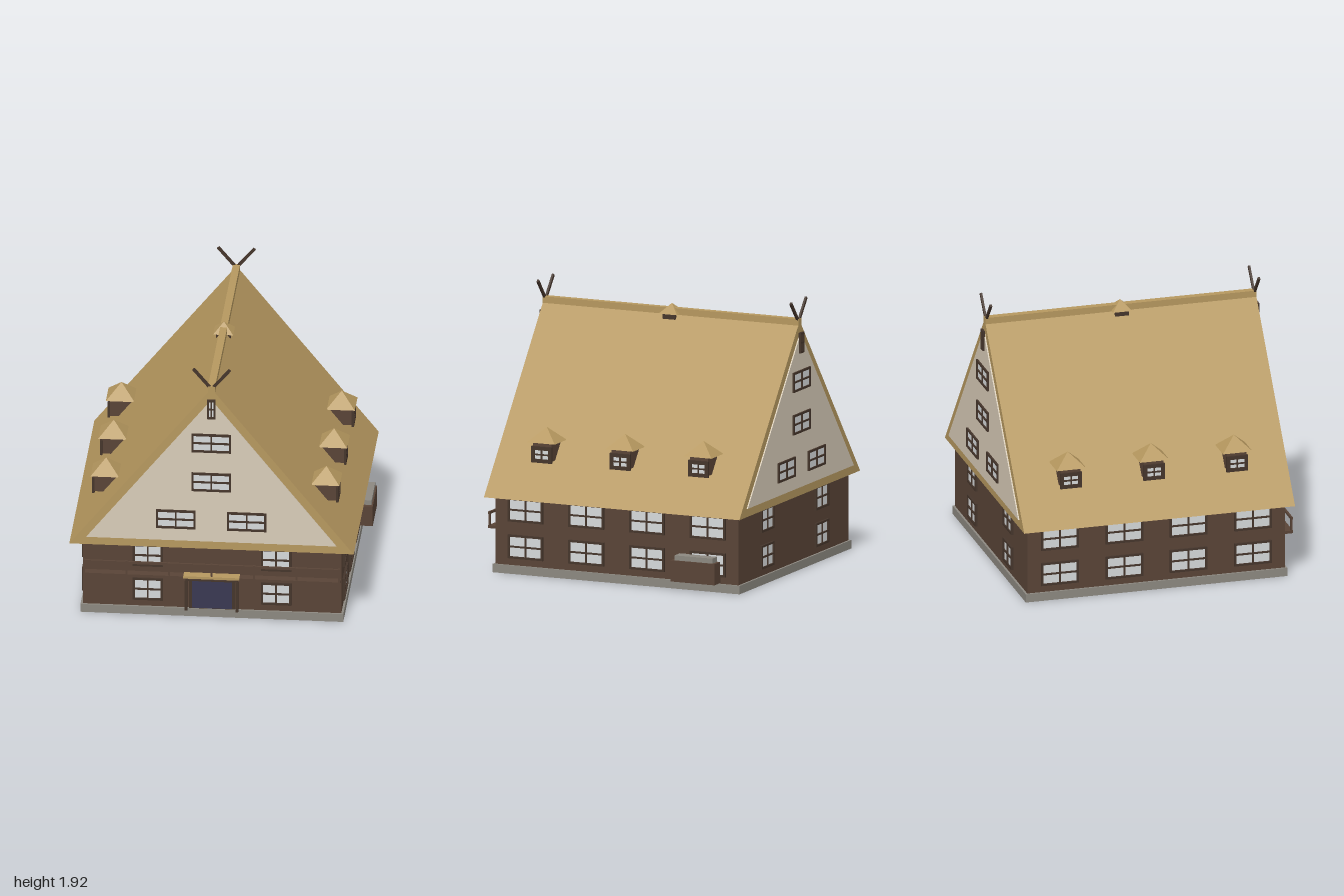
import * as THREE from 'three';

const mat = (name, color) => {
  const m = new THREE.MeshStandardMaterial({ color });
  m.name = name;
  return m;
};

export function createModel() {
  const thatch = mat('thatch', 0xb6985f);
  const wood = mat('wall wood', 0x594437);
  const trim = mat('dark trim', 0x45352b);
  const plaster = mat('plaster', 0xd8ccb8);
  const glass = mat('glass', 0xd6d9da);
  const stone = mat('stone', 0x8c8880);
  const blue = mat('door blue', 0x393852);

  const house = new THREE.Group();
  house.name = 'house';
  house.position.x = -0.005;

  const add = (name, geo, material, parent = house) => {
    const m = new THREE.Mesh(geo, material);
    m.name = name;
    parent.add(m);
    return m;
  };
  // Box given by its lower and upper limits
  const box = (name, material, x0, x1, y0, y1, z0, z1, parent) => {
    const m = add(name, new THREE.BoxGeometry(x1 - x0, y1 - y0, z1 - z0), material, parent);
    m.position.set((x0 + x1) / 2, (y0 + y1) / 2, (z0 + z1) / 2);
    return m;
  };
  // Triangular prism along z, centred on z = 0
  const prism = (name, material, half, y0, y1, depth) => {
    const s = new THREE.Shape([
      new THREE.Vector2(-half, y0), new THREE.Vector2(half, y0), new THREE.Vector2(0, y1)]);
    const g = new THREE.ExtrudeGeometry(s, { depth, bevelEnabled: false });
    return add(name, g.translate(0, 0, -depth / 2), material);
  };
  // Four-sided pyramid roof
  const pyramid = (name, hx, hz, h, parent) => {
    const g = new THREE.ConeGeometry(Math.SQRT2, h, 4).toNonIndexed();
    g.rotateY(Math.PI / 4).scale(hx, 1, hz).translate(0, h / 2, 0);
    g.computeVertexNormals();
    return add(name, g, thatch, parent);
  };
  const rect = (P, x0, x1, y0, y1) => new P([
    new THREE.Vector2(x0, y0), new THREE.Vector2(x1, y0),
    new THREE.Vector2(x1, y1), new THREE.Vector2(x0, y1)]);

  // Four-pane window facing local +z
  const windowUnit = (w, h, border = 0.015, bar = 0.012) => {
    const g = new THREE.Group();
    g.name = 'window';
    const s = rect(THREE.Shape, -w / 2, w / 2, -h / 2, h / 2);
    const a = w / 2 - border, b = h / 2 - border, c = bar / 2;
    for (const [x0, x1] of [[-a, -c], [c, a]])
      for (const [y0, y1] of [[-b, -c], [c, b]])
        s.holes.push(rect(THREE.Path, x0, x1, y0, y1));
    add('windowFrame', new THREE.ExtrudeGeometry(s, { depth: 0.017, bevelEnabled: false }), trim, g);
    box('windowGlass', glass, -a, a, -b, b, 0, 0.008, g);
    return g;
  };
  const placeWindow = (w, h, x, y, z, turn, border, bar, parent = house) => {
    const g = windowUnit(w, h, border, bar);
    g.position.set(x, y, z);
    g.rotation.y = turn;
    parent.add(g);
  };

  // Plinth, walls and thatched roof
  box('plinth', stone, -0.915, 0.915, 0, 0.06, -0.945, 0.945);
  box('walls', wood, -0.9, 0.9, 0.06, 0.545, -0.93, 0.93);
  prism('roof', thatch, 0.99, 0.54, 1.775, 1.956);
  prism('gablePlaster', plaster, 0.87, 0.6, 1.69, 1.974);
  box('ridgeCap', thatch, -0.025, 0.025, 1.735, 1.79, -0.979, 0.979);

  // Ridge lantern
  box('lanternBody', trim, -0.05, 0.05, 1.705, 1.755, -0.05, 0.05);
  pyramid('lanternRoof', 0.07, 0.07, 0.07).position.y = 1.75;

  for (const side of [1, -1]) {
    const turn = side > 0 ? 0 : Math.PI;

    // Crossed gable poles
    for (const lean of [1, -1]) {
      const pole = add('gablePole', new THREE.BoxGeometry(0.02, 0.22, 0.015), trim);
      pole.position.set(lean * 0.056, 1.834, side * 0.968);
      pole.rotation.z = -lean * 0.7;
    }

    // Gable windows
    for (const [x, y] of [[0, 1.36], [0, 1.06], [-0.247, 0.765], [0.247, 0.765]])
      placeWindow(0.275, 0.14, x, y, side * 0.983, turn);
    placeWindow(0.058, 0.145, 0, 1.622, side * 0.983, turn, 0.014, 0.01);

    // Front and back wall windows
    for (const x of [-0.447, 0.447])
      for (const y of [0.193, 0.453])
        placeWindow(0.21, 0.168, x, y, side * 0.929, turn);

    // Long side windows
    for (const z of [0.697, 0.232, -0.232, -0.697])
      for (const y of [0.193, 0.453])
        placeWindow(0.27, 0.168, side * 0.899, y, z, side * Math.PI / 2);

    // Dormers
    for (const z of [-0.6, 0, 0.6]) {
      const d = new THREE.Group();
      d.name = 'dormer';
      d.position.z = z;
      d.rotation.y = turn;
      house.add(d);
      box('dormerBody', wood, 0.66, 0.842, 0.8, 0.932, -0.07, 0.07, d);
      pyramid('dormerRoof', 0.1, 0.107, 0.1, d).position.set(0.767, 0.93, 0);
      placeWindow(0.155, 0.115, 0.841, 0.847, 0, Math.PI / 2, 0.026, 0.01, d);
    }
  }

  // Front balcony: deck, rail and posts
  box('balconyDeck', wood, -0.895, 0.895, 0.305, 0.325, 0.93, 0.99);
  box('balconyRail', wood, -0.895, 0.895, 0.405, 0.422, 0.975, 0.99);
  for (let i = -3; i <= 3; i++)
    box('balconyPost', wood, i * 0.296 - 0.007, i * 0.296 + 0.007, 0.32, 0.425, 0.974, 0.988);

  // Door with frame, canopy and canopy posts
  box('doorFrame', trim, -0.16, 0.16, 0.06, 0.3, 0.925, 0.94);
  box('door', blue, -0.14, 0.14, 0.065, 0.285, 0.937, 0.945);
  box('canopy', thatch, -0.195, 0.195, 0.312, 0.33, 0.93, 0.997);
  box('canopyBeam', trim, -0.18, 0.18, 0.29, 0.312, 0.93, 0.985);
  for (const s of [1, -1])
    box('canopyPost', trim, s * 0.177 - 0.009, s * 0.177 + 0.009, 0.06, 0.29, 0.968, 0.986);

  // Side chest with stone top
  box('sideChest', wood, 0.89, 0.995, 0.065, 0.215, -0.79, -0.455);
  box('chestTop', stone, 0.9, 0.985, 0.215, 0.25, -0.77, -0.48);

  const root = new THREE.Group();
  root.name = 'thatchedFarmhouse';
  root.add(house);
  return root;
}
